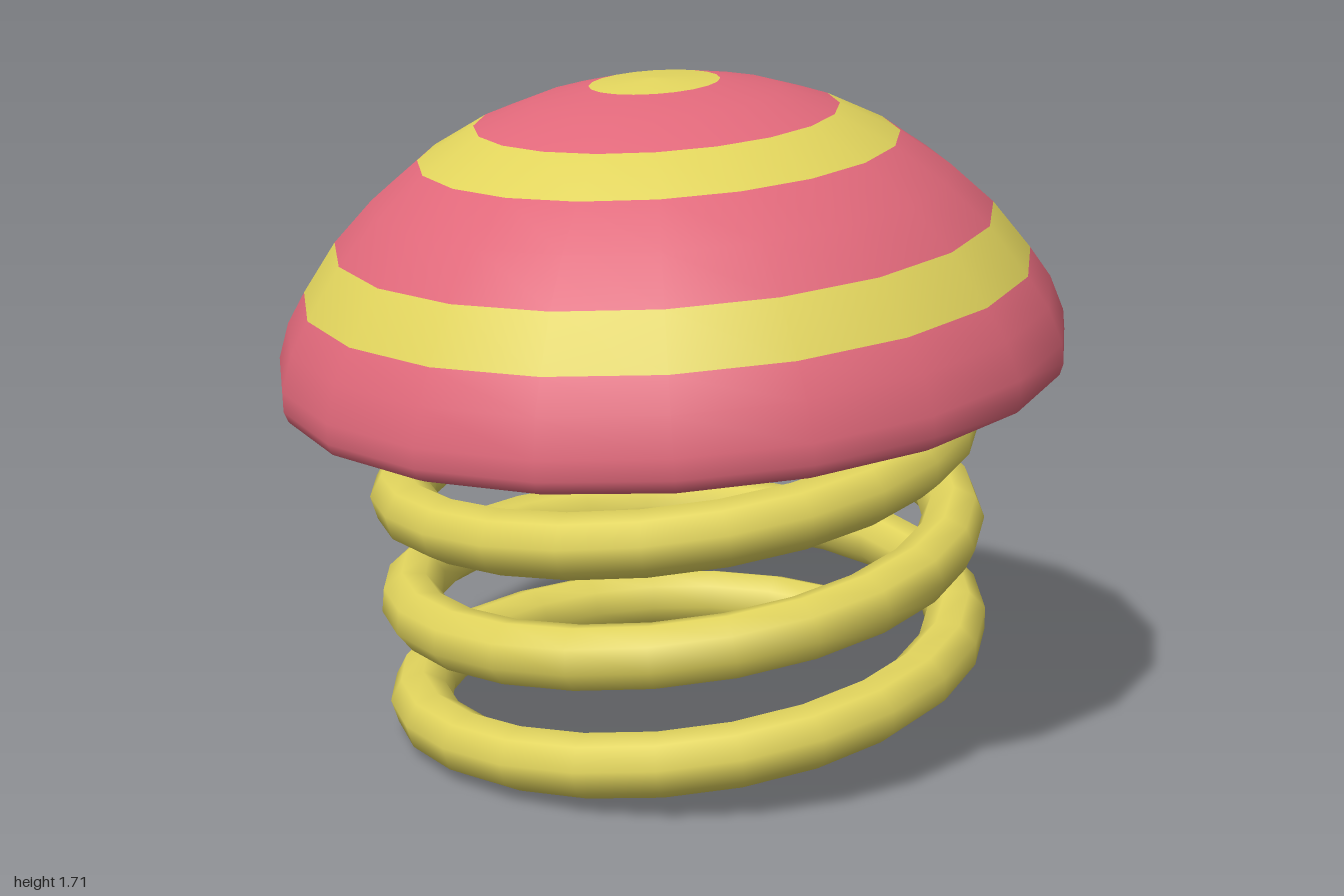
import * as THREE from 'three';

const TILT = 0.107;       // lean of spring and cap, radians about z
const COIL_RADIUS = 0.707, WIRE = 0.08, PITCH = 0.281, TURNS = 4;

const pink = new THREE.MeshStandardMaterial({ color: 0xe0687a });
pink.name = 'pink';
const yellow = new THREE.MeshStandardMaterial({ color: 0xe0d35c });
yellow.name = 'yellow';

class Helix extends THREE.Curve {
  getPoint(t, target = new THREE.Vector3()) {
    const a = t * TURNS * Math.PI * 2;
    return target.set(COIL_RADIUS * Math.cos(a), PITCH * TURNS * t, -COIL_RADIUS * Math.sin(a));
  }
}

// Lathe whose profile segments are coloured in turn: 0 = pink, 1 = yellow
function bandedLathe(name, profile, bands) {
  const geo = new THREE.LatheGeometry(profile.map(([r, h]) => new THREE.Vector2(r, h)), 20);
  const rows = profile.length - 1;
  const old = Array.from(geo.index.array);
  const sorted = [[], []];
  const columns = profile.length;
  for (let i = 0; i < old.length; i += 3) {
    const row = Math.min(old[i] % columns, old[i + 1] % columns, old[i + 2] % columns);
    sorted[bands[Math.min(row, rows - 1)]].push(old[i], old[i + 1], old[i + 2]);
  }
  geo.setIndex([...sorted[0], ...sorted[1]]);
  geo.addGroup(0, sorted[0].length, 0);
  geo.addGroup(sorted[0].length, sorted[1].length, 1);
  const mesh = new THREE.Mesh(geo, [pink, yellow]);
  mesh.name = name;
  return mesh;
}

// Flat fan closing one end of the wire
function wireEnd(tube, firstVertex, flip) {
  const pos = tube.attributes.position;
  const points = [];
  for (let i = 0; i < 8; i++) {
    points.push(new THREE.Vector3().fromBufferAttribute(pos, firstVertex + i));
  }
  if (flip) points.reverse();
  const geo = new THREE.BufferGeometry().setFromPoints(points);
  const index = [];
  for (let i = 1; i < 7; i++) index.push(0, i, i + 1);
  geo.setIndex(index);
  geo.computeVertexNormals();
  const mesh = new THREE.Mesh(geo, yellow);
  mesh.name = 'wireEnd';
  return mesh;
}

export function createModel() {
  const model = new THREE.Group();
  model.name = 'springMushroom';

  // Coil spring
  const spring = new THREE.Group();
  spring.name = 'spring';
  const segments = TURNS * 24;
  const tube = new THREE.TubeGeometry(new Helix(), segments, WIRE, 8, false);
  const coil = new THREE.Mesh(tube, yellow);
  coil.name = 'coil';
  spring.add(coil, wireEnd(tube, 0, false), wireEnd(tube, segments * 9, true));
  spring.position.set(0.083, 0.037, 0);
  spring.rotation.z = TILT;
  model.add(spring);

  // Hollow striped cap
  const cap = new THREE.Group();
  cap.name = 'cap';
  const outer = [
    [0.965, 0], [0.99, 0.012], [1.0, 0.04], [0.998, 0.09], [0.967, 0.18],
    [0.918, 0.258], [0.828, 0.382], [0.725, 0.484],
    [0.602, 0.578], [0.455, 0.656], [0.31, 0.706], [0.163, 0.737], [0, 0.748],
  ];
  const outerBands = [0, 0, 0, 0, 0, 1, 0, 0, 1, 0, 0, 1];
  cap.add(bandedLathe('capOutside', outer, outerBands));

  // Inner shell follows the same stripes, running from the crown down
  const inner = outer.slice(4).map(([r, h]) => [r * 0.82, h * 0.82 - 0.05]).reverse();
  inner.push([0.8, 0]);
  const innerBands = [...outerBands.slice(4).reverse(), 0];
  cap.add(bandedLathe('capInside', inner, innerBands));
  cap.add(bandedLathe('capRim', [[0.8, 0], [0.965, 0]], [0]));
  cap.position.set(0.0, 0.965, 0);
  cap.rotation.z = TILT;
  model.add(cap);

  return model;
}
